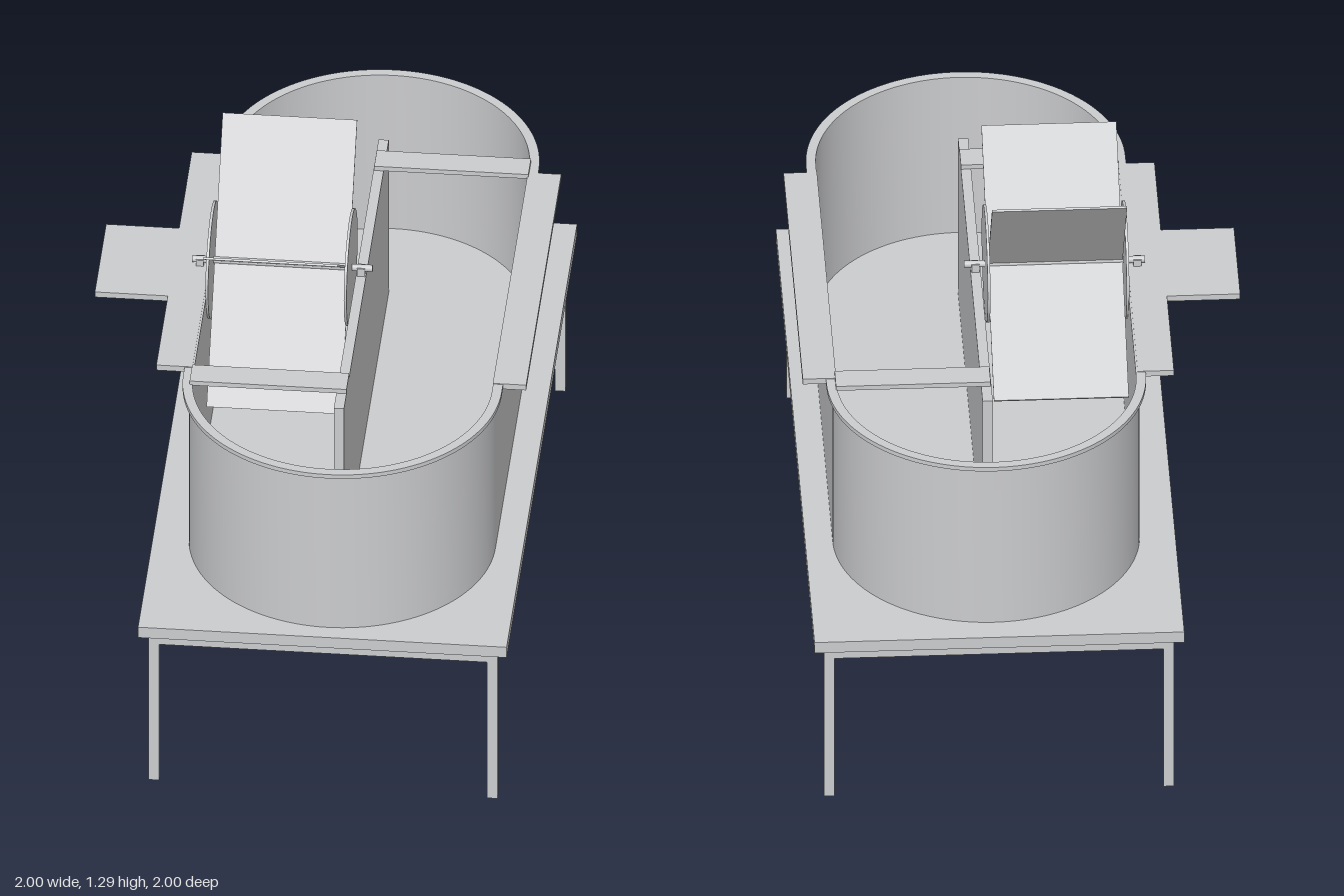
import * as THREE from 'three';
import { toCreasedNormals } from 'three/addons/utils/BufferGeometryUtils.js';

const gray = new THREE.MeshStandardMaterial({ color: 0xcbccce });
gray.name = 'light gray';

// Tank plan: rounded-end oval centred slightly off the table centre
const CX = 0.012, CW = 0.01, HALF_STRAIGHT = 0.496;

function oval(r, PathType = THREE.Shape) {
  const p = new PathType();
  p.absarc(CX + HALF_STRAIGHT, CW, r, -Math.PI / 2, Math.PI / 2, false);
  p.absarc(CX - HALF_STRAIGHT, CW, r, Math.PI / 2, Math.PI * 1.5, false);
  p.closePath();
  return p;
}

function add(parent, name, geometry) {
  const mesh = new THREE.Mesh(geometry, gray);
  mesh.name = name;
  parent.add(mesh);
  return mesh;
}

// Box given by its limits along the length (x), height (y) and width (w = -z)
function box(parent, name, [x0, x1], [y0, y1], [w0, w1]) {
  const mesh = add(parent, name, new THREE.BoxGeometry(x1 - x0, y1 - y0, w1 - w0));
  mesh.position.set((x0 + x1) / 2, (y0 + y1) / 2, -(w0 + w1) / 2);
  return mesh;
}

// Oval slab or ring lying flat between two heights
function ovalPart(parent, name, outer, inner, y0, y1) {
  const shape = oval(outer);
  if (inner) shape.holes.push(oval(inner, THREE.Path));
  const geo = new THREE.ExtrudeGeometry(shape, { depth: y1 - y0, bevelEnabled: false, curveSegments: 32 });
  geo.rotateX(-Math.PI / 2);
  add(parent, name, toCreasedNormals(geo, 0.6)).position.y = y0;
}

function buildTable() {
  const g = new THREE.Group();
  g.name = 'table';
  box(g, 'tableTop', [-0.943, 0.943], [0.453, 0.485], [-0.47, 0.47]);
  const t = 0.027, X = 0.921, W = 0.445;
  for (const s of [-1, 1]) {
    const w = s * (W - t / 2), x = s * (X - t / 2);
    box(g, 'longRail', [-X, X], [0.42, 0.453], [w - t / 2, w + t / 2]);
    box(g, 'endRail', [x - t / 2, x + t / 2], [0.42, 0.453], [-W + t, W - t]);
    for (const q of [-1, 1]) {
      const lw = q * (W - t / 2);
      box(g, 'leg', [x - t / 2, x + t / 2], [0, 0.42], [lw - t / 2, lw + t / 2]);
    }
  }
  return g;
}

function buildTank() {
  const g = new THREE.Group();
  g.name = 'tank';
  ovalPart(g, 'tankWall', 0.39, 0.381, 0.485, 0.957);
  ovalPart(g, 'tankFloor', 0.382, 0, 0.485, 0.495);
  ovalPart(g, 'tankRim', 0.406, 0.381, 0.957, 0.969);
  box(g, 'divider', [-0.583, 0.615], [0.495, 0.966], [-0.002, 0.024]);
  // Side shelves, the motor platform and the two cross braces
  box(g, 'rightShelf', [-0.466, 0.474], [0.955, 0.971], [0.39, 0.475]);
  box(g, 'leftShelf', [-0.475, 0.474], [0.955, 0.971], [-0.468, -0.376]);
  box(g, 'motorPlatform', [-0.136, 0.166], [0.955, 0.971], [-0.654, -0.468]);
  box(g, 'farBrace', [-0.516, -0.445], [0.966, 0.979], [0.0, 0.393]);
  box(g, 'nearBrace', [0.475, 0.548], [0.966, 0.979], [-0.376, 0.024]);
  return g;
}

function buildPaddleWheel() {
  const g = new THREE.Group();
  g.name = 'paddleWheel';
  g.position.set(0.015, 0.985, 0);
  // Shaft and end discs
  const shaft = add(g, 'shaft', new THREE.CylinderGeometry(0.009, 0.009, 0.46, 16));
  shaft.rotation.x = Math.PI / 2;
  shaft.position.z = 0.19;
  for (const z of [0.016, 0.369]) {
    const disc = add(g, 'wheelDisc', new THREE.CylinderGeometry(0.15, 0.15, 0.007, 48));
    disc.rotation.x = Math.PI / 2;
    disc.position.z = z;
  }
  // Bearing blocks carrying the shaft
  for (const w of [-0.4, 0.011]) {
    box(g, 'bearing', [-0.012, 0.012], [-0.02, 0.004], [w - 0.01, w + 0.01]);
  }
  // Four blades at right angles
  for (let i = 0; i < 4; i++) {
    const blade = new THREE.Group();
    blade.name = 'bladeArm';
    blade.rotation.z = THREE.MathUtils.degToRad(35.3 + 90 * i);
    box(blade, 'blade', [0, 0.374], [-0.003, 0.003], [-0.363, -0.02]);
    g.add(blade);
  }
  return g;
}

export function createModel() {
  const model = new THREE.Group();
  model.name = 'racewayTank';
  const turned = new THREE.Group();
  turned.name = 'assembly';
  turned.rotation.y = -Math.PI / 4;
  turned.add(buildTable(), buildTank(), buildPaddleWheel());
  model.add(turned);
  return model;
}
